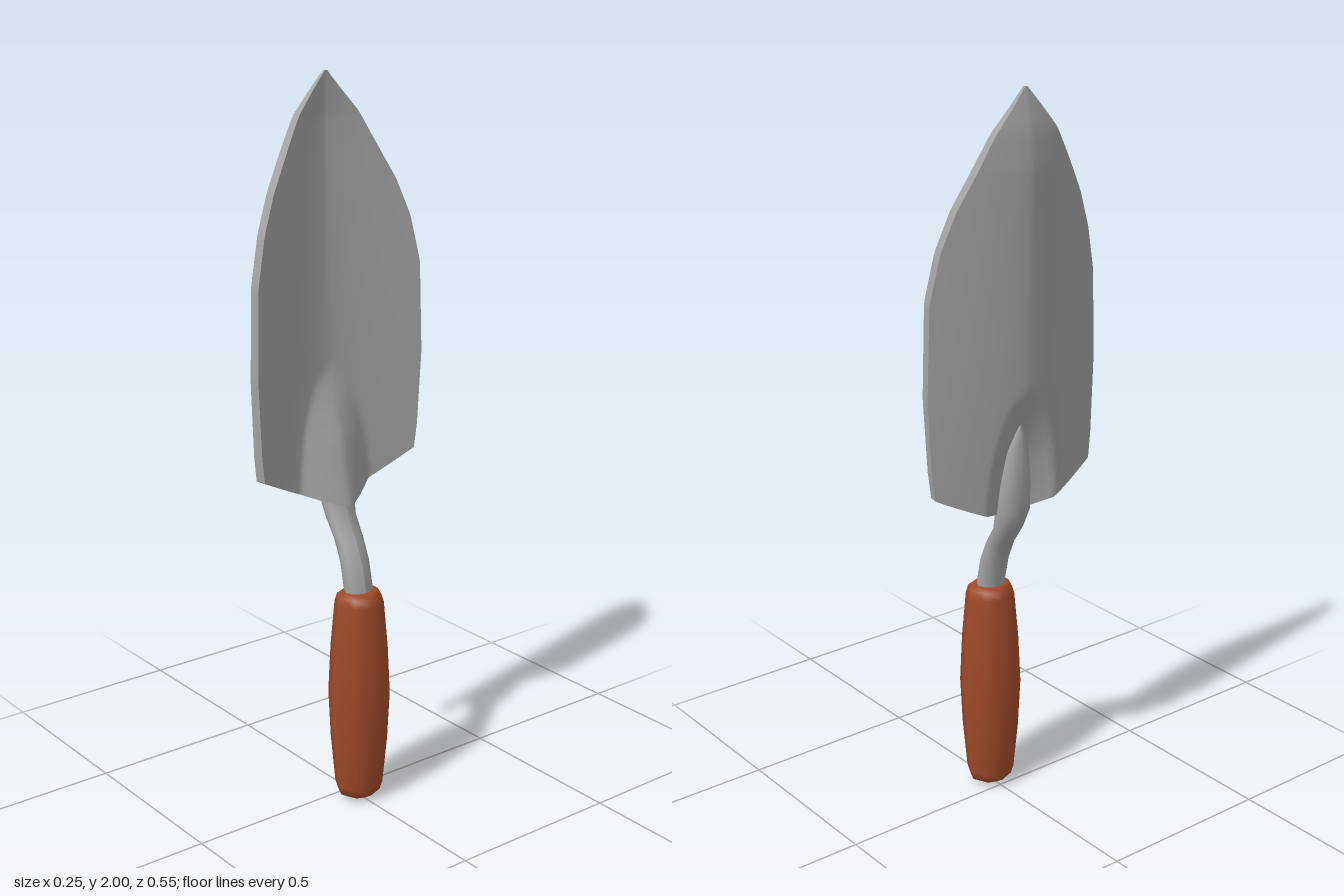
import * as THREE from 'three';

// Piecewise linear lookup in [[key, value], ...] with ascending keys
function lookup(table, k) {
  if (k <= table[0][0]) return table[0][1];
  for (let i = 1; i < table.length; i++) {
    const [k0, v0] = table[i - 1], [k1, v1] = table[i];
    if (k <= k1) return v0 + (v1 - v0) * (k - k0) / (k1 - k0);
  }
  return table[table.length - 1][1];
}

// Smooth grid surface from f(s, t) -> [x, y, z]; it faces along ds x dt
function surface(f, ns, nt) {
  const pos = [], idx = [];
  for (let i = 0; i <= ns; i++)
    for (let j = 0; j <= nt; j++) pos.push(...f(i / ns, j / nt));
  for (let i = 0; i < ns; i++)
    for (let j = 0; j < nt; j++) {
      const a = i * (nt + 1) + j, b = a + nt + 1;
      idx.push(a, b, a + 1, b, b + 1, a + 1);
    }
  const g = new THREE.BufferGeometry();
  g.setAttribute('position', new THREE.Float32BufferAttribute(pos, 3));
  g.setIndex(idx);
  g.computeVertexNormals();
  return g;
}

// Blade outline, centre line and thickness by height
const HALF_WIDTH = [[0.96, 0.26], [1.03, 0.268], [1.235, 0.277], [1.485, 0.268], [1.61, 0.24],
  [1.71, 0.2], [1.89, 0.098], [2, 0.003]];
const CENTRE_X = [[0.85, -0.075], [1.2, -0.085], [1.5, -0.092], [1.8, -0.099], [1.88, -0.1], [2, -0.094]];
const THICKNESS = [[0.85, 0.029], [1.8, 0.029], [1.9, 0.024], [2, 0.008]];
const RIDGE = [[0.85, 0.08], [1.03, 0.051], [1.21, 0]];

// Blade point: u = -1..1 across, v = 0..1 upward, depth 0 = hollow face, 1 = back
function bladePoint(u, v, depth) {
  const row = 0.96 + 1.04 * v;
  const fade = Math.max(0, 1 - (row - 0.96) / 0.34);
  const y = row - 0.11 * fade * (1 - Math.pow(Math.abs(u), 1.25));
  const z = u * (lookup(HALF_WIDTH, row) - 0.007 * (1 - depth) * (1 - v));
  const centre = lookup(CENTRE_X, y);
  let x = centre + (-0.027 - centre) * Math.pow(Math.abs(z) / 0.27, 1.35);
  // pressed socket that tapers out up the blade
  const rise = (y - 0.85) / 0.36;
  if (rise < 1) {
    const w = 0.115 * Math.sqrt(1 - Math.max(0, rise) ** 2);
    const r = Math.abs(z) / w;
    if (r < 1) x += lookup(RIDGE, y) * (1 - Math.pow(r, 1.4));
  }
  return [x - depth * lookup(THICKNESS, y), y, z];
}

export function createModel() {
  const model = new THREE.Group();
  const steel = new THREE.MeshStandardMaterial({ color: 0xa3a3a3 });
  steel.name = 'steel grey';
  const wood = new THREE.MeshStandardMaterial({ color: 0xa04a28 });
  wood.name = 'reddish wood';

  const add = (name, geometry, material, parent = model) => {
    const mesh = new THREE.Mesh(geometry, material);
    mesh.name = name;
    parent.add(mesh);
    return mesh;
  };

  // Blade: two faces and a crisp rim
  const blade = new THREE.Group();
  blade.name = 'blade';
  model.add(blade);
  add('bladeFace', surface((s, t) => bladePoint(2 * t - 1, s, 0), 60, 52), steel, blade);
  add('bladeBack', surface((s, t) => bladePoint(1 - 2 * t, s, 1), 60, 52), steel, blade);
  add('leftRim', surface((s, t) => bladePoint(1, t, 1 - s), 1, 60), steel, blade);
  add('rightRim', surface((s, t) => bladePoint(-1, 1 - t, 1 - s), 1, 60), steel, blade);
  add('bottomRim', surface((s, t) => bladePoint(2 * t - 1, 0, 1 - s), 1, 52), steel, blade);

  // Bent neck running into the socket: [x, y, radius]
  const rings = [[0.045, 0.58, 0.04], [0.042, 0.63, 0.042], [0.026, 0.7, 0.042], [0, 0.76, 0.042],
    [-0.035, 0.815, 0.044], [-0.053, 0.87, 0.05], [-0.06, 0.95, 0.046],
    [-0.073, 1.05, 0.032], [-0.085, 1.12, 0.004]];
  add('neck', surface((s, t) => {
    const [x, y, r] = rings[Math.round(t * (rings.length - 1))];
    const a = s * Math.PI * 2;
    return [x + 0.8 * r * Math.cos(a), y, -r * Math.sin(a)];
  }, 12, rings.length - 1), steel);

  // Eight-sided handle, slightly flattened
  const profile = [[0, 0], [0.035, 0.004], [0.062, 0.02], [0.07, 0.045], [0.083, 0.18], [0.09, 0.32],
    [0.083, 0.46], [0.071, 0.59], [0.064, 0.612], [0.05, 0.622], [0, 0.622]];
  const handle = add('handle', new THREE.LatheGeometry(profile.map(p => new THREE.Vector2(...p)), 8), wood);
  handle.scale.set(0.89, 1, 1);
  handle.position.x = 0.046;

  return model;
}
